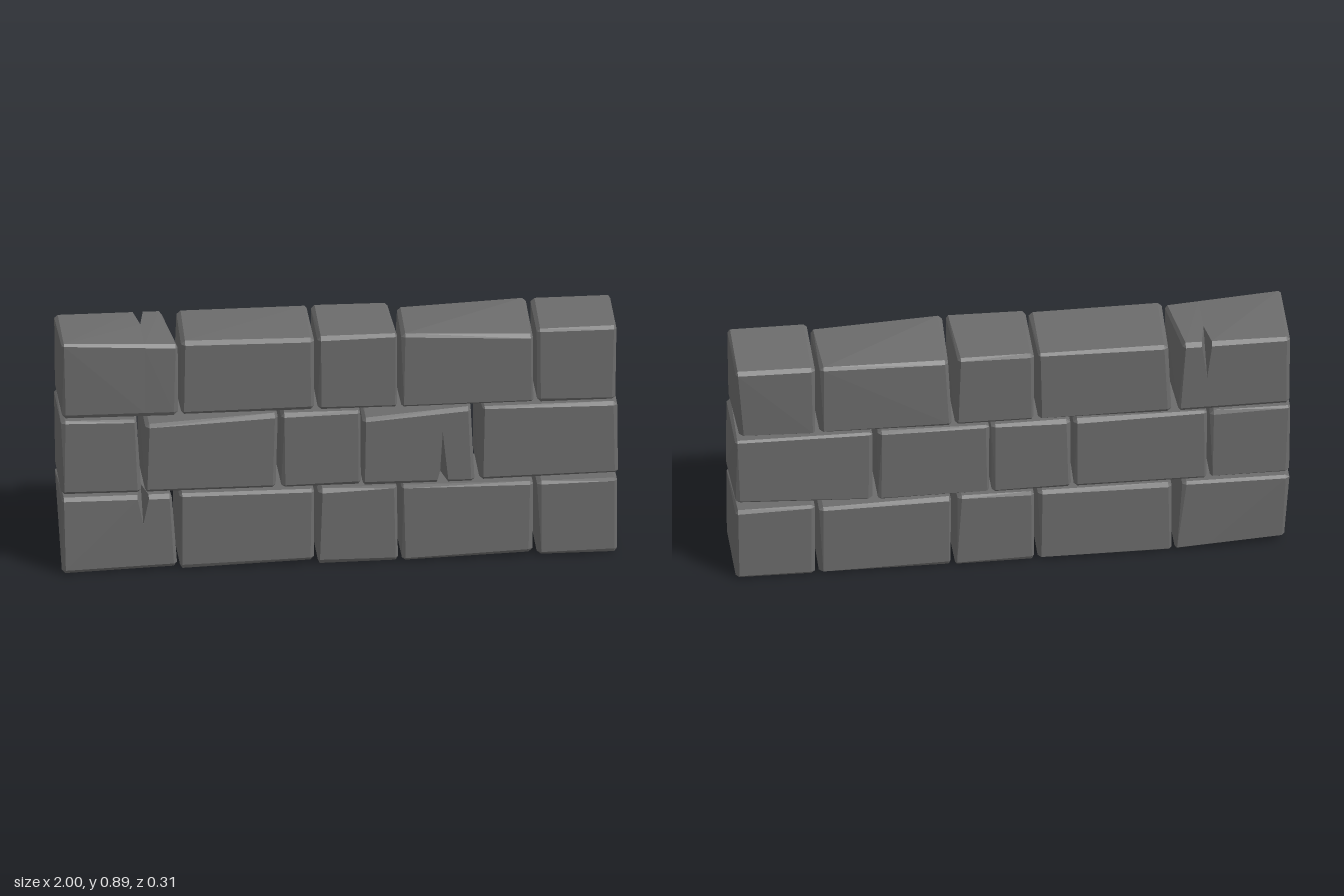
import * as THREE from 'three';
import { ConvexGeometry } from 'three/addons/geometries/ConvexGeometry.js';

// Small seeded generator for the hand-cut look
let seed = 7;
const rand = () => (seed = (seed * 16807) % 2147483647) / 2147483647;

const FRONT = 0.143, BACK = -0.152;
const SIDES = [-1, 1];

// Each brick: x range, corner shifts keyed by l/r + b/t + b/f, optional crack
const ROWS = [
  { name: 'bottom', y: [0, 0.293], bricks: [
    { x: [-1, -0.58], shift: { lbf: [0, 0, 0.012], rbf: [0, 0.006, 0], rtf: [-0.02, 0, 0], rtb: [-0.03, 0, 0], lbb: [0.02, 0.02, 0.01] },
      crack: { x: -0.705, sy: 1, sz: 1, half: 0.02, deep: 0.11, reach: 0.1 } },
    { x: [-0.575, -0.09], shift: { rbf: [0, 0.012, 0] } },
    { x: [-0.08, 0.21], shift: { rtb: [-0.01, 0, 0] } },
    { x: [0.22, 0.697], shift: { rbf: [0, 0.012, 0], rtb: [0, -0.01, 0] } },
    { x: [0.707, 0.998], shift: { rbf: [0, 0.004, 0] } },
  ] },
  { name: 'middle', y: [0.301, 0.593], bricks: [
    { x: [-1, -0.71], shift: { rtf: [-0.015, -0.005, 0] } },
    { x: [-0.7, -0.217], shift: { ltf: [0, -0.025, 0], rbf: [-0.01, 0, 0] } },
    { x: [-0.212, 0.078], shift: {} },
    { x: [0.08, 0.487], shift: { ltf: [0, -0.03, 0], rtf: [-0.015, 0, 0] },
      crack: { x: 0.37, sy: -1, sz: 1, half: 0.02, deep: 0.21, reach: 0.1 } },
    { x: [0.5, 1], shift: { rbb: [0, 0.022, 0], rbf: [0, 0.012, 0], ltf: [0.01, 0, 0] } },
  ] },
  { name: 'top', y: [0.6, 0.888], bricks: [
    { x: [-1, -0.58], shift: { ltf: [0, 0.008, 0.005], rtf: [0, -0.012, -0.005], rtb: [-0.03, 0, 0], rbb: [-0.015, 0, 0] },
      crack: { x: -0.7, sy: 1, sz: -1, half: 0.018, deep: 0.15, reach: 0.11 } },
    { x: [-0.572, -0.09], shift: { rtf: [0, -0.006, 0], ltb: [0.01, 0, 0] } },
    { x: [-0.08, 0.208], shift: { rtb: [-0.008, 0, 0] } },
    { x: [0.218, 0.697], shift: { rtf: [0, -0.02, 0], ltb: [0.01, -0.015, 0.01] } },
    { x: [0.707, 0.998], shift: { rbb: [-0.012, 0, 0.01], rbf: [-0.004, 0, 0] } },
  ] },
];

// Chamfered corners: one point on each of the three faces that meet there
function cornerPoints(brick, y) {
  const corners = {};
  for (const sx of SIDES) for (const sy of SIDES) for (const sz of SIDES) {
    const key = (sx < 0 ? 'l' : 'r') + (sy < 0 ? 'b' : 't') + (sz < 0 ? 'b' : 'f');
    const c = new THREE.Vector3(brick.x[sx < 0 ? 0 : 1], y[sy < 0 ? 0 : 1], sz < 0 ? BACK : FRONT);
    c.add(new THREE.Vector3(...(brick.shift[key] || [0, 0, 0])));
    c.x -= sx * rand() * 0.004;
    c.y -= sy * rand() * 0.003;
    const inset = () => 0.007 + rand() * 0.009;
    const dx = -sx * inset(), dy = -sy * inset(), dz = -sz * inset();
    corners[[sx, sy, sz]] = {
      x: c.clone().add(new THREE.Vector3(0, dy, dz)),
      y: c.clone().add(new THREE.Vector3(dx, 0, dz)),
      z: c.clone().add(new THREE.Vector3(dx, dy, 0)),
    };
  }
  return corners;
}

// Half of a cracked brick: its outer end plus a seam with one corner cut away
function crackedHalf(corners, crack, side) {
  const pts = [];
  const along = (face, sy, sz, x) => {
    const a = corners[[-1, sy, sz]][face], b = corners[[1, sy, sz]][face];
    return a.clone().lerp(b, (x - a.x) / (b.x - a.x));
  };
  for (const sy of SIDES) for (const sz of SIDES) {
    pts.push(...Object.values(corners[[side, sy, sz]]));
    const cut = sy === crack.sy && sz === crack.sz;
    const x = crack.x + (cut ? side * crack.half : 0);
    pts.push(along('y', sy, sz, x), along('z', sy, sz, x));
    if (cut) {
      pts.push(along('z', sy, sz, crack.x).lerp(along('z', -sy, sz, crack.x), crack.deep / 0.29));
      pts.push(along('y', sy, sz, crack.x).lerp(along('y', sy, -sz, crack.x), crack.reach / 0.29));
    }
  }
  return new ConvexGeometry(pts);
}

export function createModel() {
  seed = 7;
  const wall = new THREE.Group();
  wall.name = 'brickWall';
  const stone = new THREE.MeshStandardMaterial({ color: 0x6c6c6c });
  stone.name = 'grey stone';

  for (const row of ROWS) {
    const course = new THREE.Group();
    course.name = row.name + 'Course';
    row.bricks.forEach((brick, i) => {
      const corners = cornerPoints(brick, row.y);
      const parts = brick.crack
        ? SIDES.map((side) => crackedHalf(corners, brick.crack, side))
        : [new ConvexGeometry(Object.values(corners).flatMap((c) => Object.values(c)))];
      parts.forEach((geometry, j) => {
        const mesh = new THREE.Mesh(geometry, stone);
        mesh.name = `${row.name}Brick${i + 1}` + (brick.crack ? ['LowXHalf', 'HighXHalf'][j] : '');
        course.add(mesh);
      });
    });
    wall.add(course);
  }
  return wall;
}
